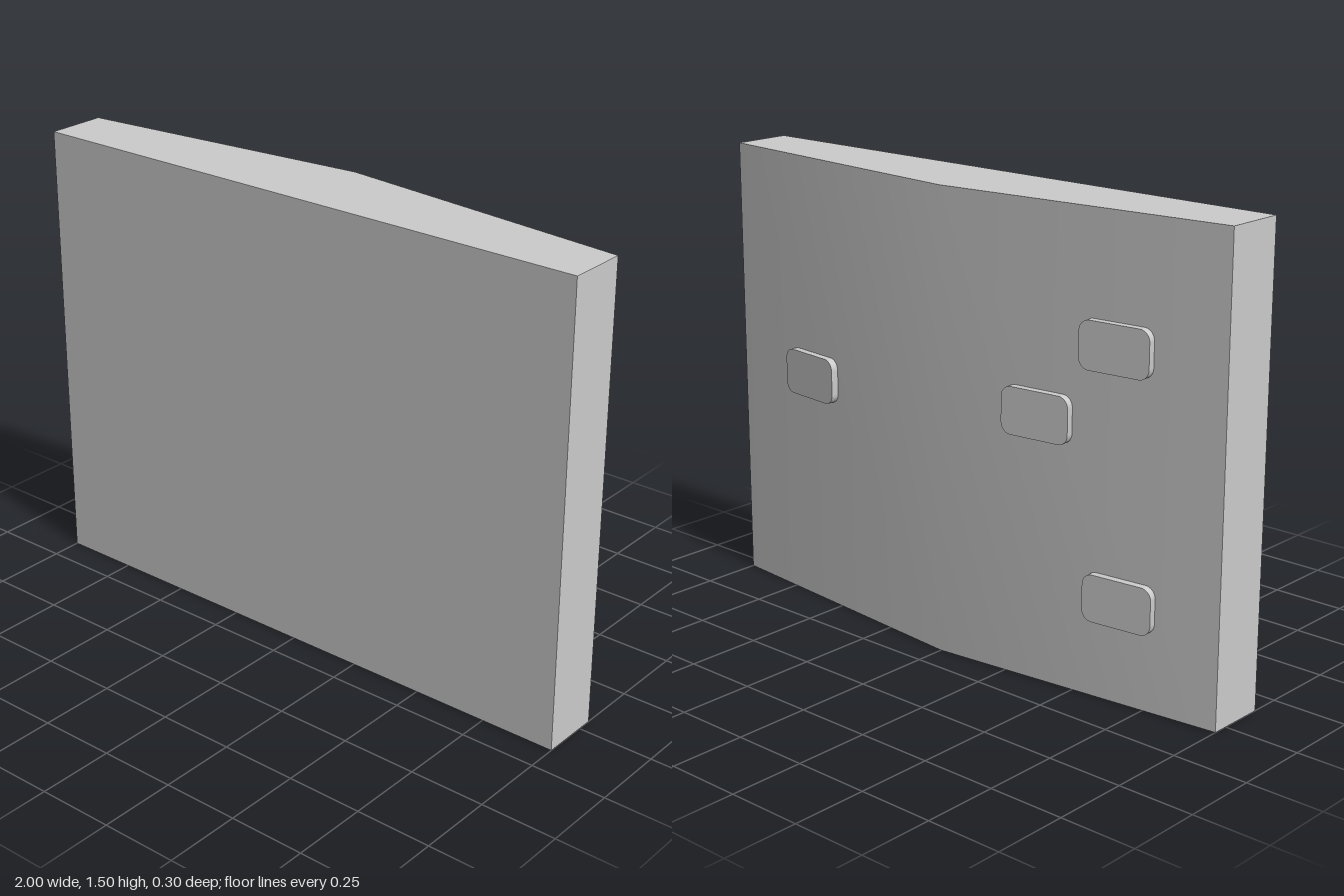
import * as THREE from 'three';
import { toCreasedNormals } from 'three/addons/utils/BufferGeometryUtils.js';

const HEIGHT = 1.5, RIDGE = 0.15, SLOPE = 0.1;
const material = new THREE.MeshStandardMaterial({ color: 0xcccccc });

// Outline of a rounded rectangle centred on the origin
function roundedRect(w, h, r) {
  const x = w / 2, y = h / 2;
  const s = new THREE.Shape();
  s.moveTo(-x + r, -y);
  s.lineTo(x - r, -y);
  s.absarc(x - r, -y + r, r, -Math.PI / 2, 0);
  s.lineTo(x, y - r);
  s.absarc(x - r, y - r, r, 0, Math.PI / 2);
  s.lineTo(-x + r, y);
  s.absarc(-x + r, y - r, r, Math.PI / 2, Math.PI);
  s.lineTo(-x, -y + r);
  s.absarc(-x + r, -y + r, r, Math.PI, Math.PI * 1.5);
  return s;
}

export function createModel() {
  const group = new THREE.Group();

  // Slab: five-sided plan with a shallow ridge down the back, extruded upward
  const plan = new THREE.Shape([
    [-1, -0.15], [1, -0.15], [1, 0.05], [0, RIDGE], [-1, 0.05],
  ].map(([x, y]) => new THREE.Vector2(x, y)));
  const slabGeo = new THREE.ExtrudeGeometry(plan, { depth: HEIGHT, bevelEnabled: false });
  slabGeo.rotateX(-Math.PI / 2);
  const slab = new THREE.Mesh(toCreasedNormals(slabGeo, 0.4), material);
  slab.name = 'slab';
  group.add(slab);

  // Rounded pads lying on the two sloping back faces, sunk slightly into them
  const sink = 0.005;
  const padGeo = toCreasedNormals(new THREE.ExtrudeGeometry(roundedRect(0.24, 0.15, 0.035), {
    depth: 0.025 + sink, bevelEnabled: false, curveSegments: 6,
  }), 0.6);
  padGeo.translate(0, 0, -sink);
  [[0.62, 0.78], [-0.64, 1.1], [-0.367, 0.855], [-0.665, 0.325]].forEach(([x, y], i) => {
    const pad = new THREE.Mesh(padGeo, material);
    pad.name = `backPad${i + 1}`;
    pad.position.set(x, y, -RIDGE + SLOPE * Math.abs(x));
    pad.rotation.y = Math.PI - Math.sign(x) * Math.atan(SLOPE);
    group.add(pad);
  });

  return group;
}
